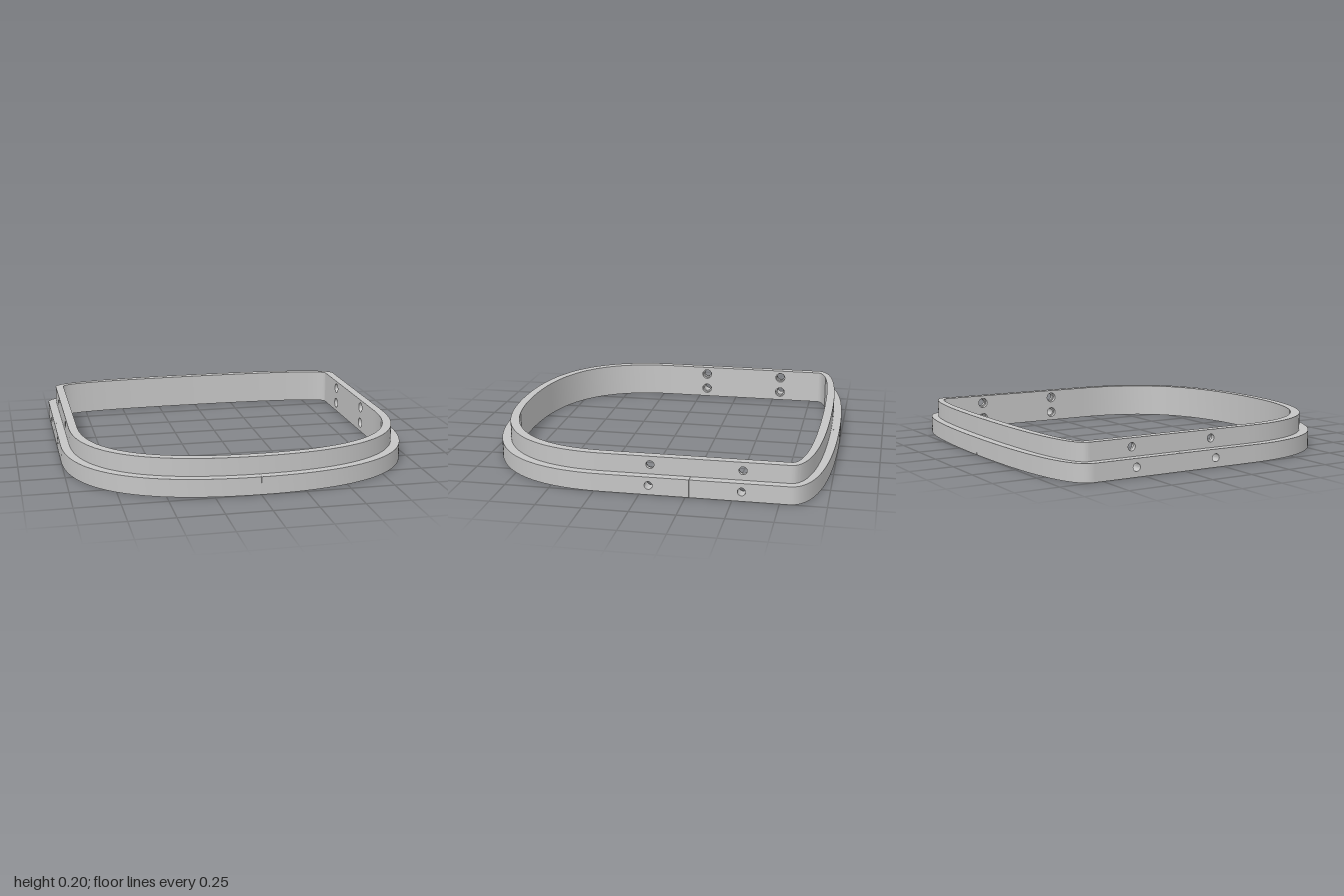
import * as THREE from 'three';
import { toCreasedNormals } from 'three/addons/utils/BufferGeometryUtils.js';

const FRONT_Z = 0.2;   // where the straight sides meet the front curve
const BACK_Z = -0.8;   // where the straight sides meet the back curve
const SEAM_Z = -0.27;  // joint in the side bands
const GAP = 0.0005;    // half the width of a joint
const HOLE_R = 0.022;
const RECESS_R = 0.03; // wider mouth of each hole on the inside
const HOLE_Z = [-0.05, -0.55];
const HOLE_Y = [0.053, 0.153];

export function createModel() {
  const model = new THREE.Group();
  model.name = 'steppedFrame';
  const grey = new THREE.MeshStandardMaterial({ color: 0xc5c5c5 });
  grey.name = 'grey';

  const extrude = (shape, depth) =>
    new THREE.ExtrudeGeometry(shape, { depth, bevelEnabled: false, curveSegments: 24 });

  const add = (name, geometry) => {
    const mesh = new THREE.Mesh(toCreasedNormals(geometry, 0.5), grey);
    mesh.name = name;
    model.add(mesh);
  };

  // Quadratic curve from the straight side to the middle of the frame
  const quarter = (half, side, end, gap) => {
    const z0 = end > 0 ? FRONT_Z : BACK_Z;
    return new THREE.QuadraticBezierCurve(
      new THREE.Vector2(side * half, -z0),
      new THREE.Vector2(side * half, -end * half),
      new THREE.Vector2(side * gap, -end * half),
    ).getPoints(48);
  };

  // Curved wall between two outlines
  const curvedWall = (name, inner, outer, height, side, end, gap) => {
    const outline = [...quarter(outer, side, end, gap), ...quarter(inner, side, end, gap).reverse()];
    add(name, extrude(new THREE.Shape(outline), height).rotateX(-Math.PI / 2));
  };

  // Straight wall with round holes bored through it
  const straightWall = (name, inner, outer, height, side, zMin, zMax, radius) => {
    const shape = new THREE.Shape([
      new THREE.Vector2(-zMax, 0), new THREE.Vector2(-zMin, 0),
      new THREE.Vector2(-zMin, height), new THREE.Vector2(-zMax, height),
    ]);
    for (const z of HOLE_Z) for (const y of HOLE_Y) {
      if (z < zMin || z > zMax || y > height) continue;
      const hole = new THREE.Path();
      hole.absarc(-z, y, radius, 0, Math.PI * 2, true);
      shape.holes.push(hole);
    }
    const geometry = extrude(shape, outer - inner).rotateY(Math.PI / 2);
    add(name, geometry.translate(side > 0 ? inner : -outer, 0, 0));
  };

  for (const side of [1, -1]) {
    const label = side > 0 ? 'left' : 'right';

    // Tall inner rim, its side holes widened on the inside
    straightWall(label + 'RimSideInner', 0.9, 0.925, 0.2, side, BACK_Z, FRONT_Z, RECESS_R);
    straightWall(label + 'RimSideOuter', 0.925, 0.95, 0.2, side, BACK_Z, FRONT_Z, HOLE_R);
    curvedWall(label + 'RimFront', 0.9, 0.95, 0.2, side, 1, 0);
    curvedWall(label + 'RimBack', 0.9, 0.95, 0.2, side, -1, 0);

    // Low outer band, jointed at the middle of each edge
    straightWall(label + 'BandSideFront', 0.95, 1, 0.1, side, SEAM_Z + GAP, FRONT_Z, HOLE_R);
    straightWall(label + 'BandSideBack', 0.95, 1, 0.1, side, BACK_Z, SEAM_Z - GAP, HOLE_R);
    curvedWall(label + 'BandFront', 0.95, 1, 0.1, side, 1, GAP);
    curvedWall(label + 'BandBack', 0.95, 1, 0.1, side, -1, GAP);
  }
  return model;
}
